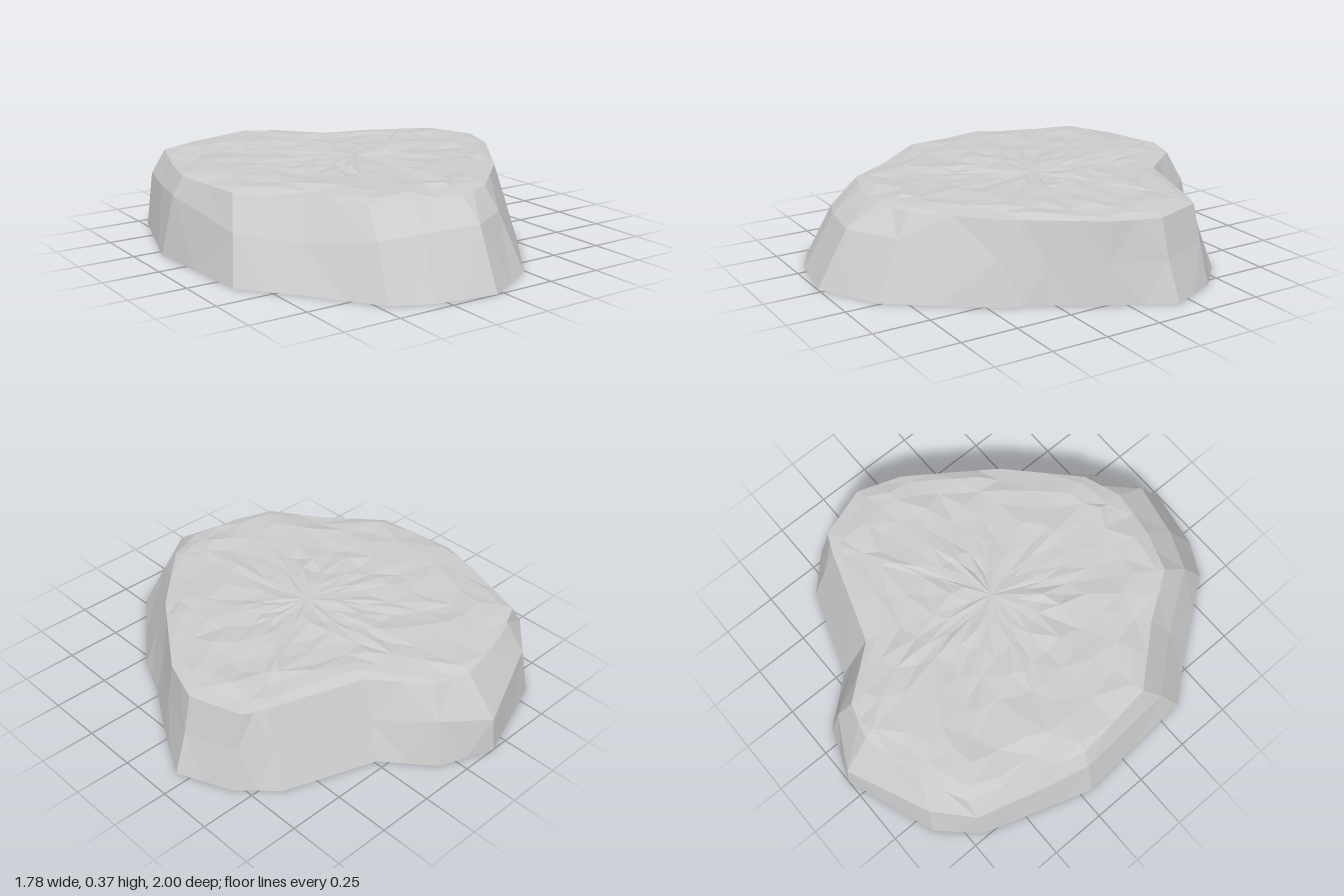
import * as THREE from 'three';

// Outline, counterclockwise from the front: base x, z | shoulder blend, shoulder height | rim x, z
const OUTLINE = [
  [-0.03, 1.00, 0.50, 0.25, 0.00, 0.73],
  [0.24, 0.85, 0.65, 0.24, 0.17, 0.67],
  [0.54, 0.46, 0.55, 0.19, 0.45, 0.40],
  [0.62, 0.28, 0.50, 0.16, 0.57, 0.23],
  [0.75, 0.07, 0.55, 0.17, 0.71, 0.03],
  [0.89, -0.19, 0.60, 0.17, 0.78, -0.17],
  [0.79, -0.42, 0.55, 0.18, 0.70, -0.40],
  [0.64, -0.57, 0.50, 0.17, 0.61, -0.44],
  [0.24, -0.71, 0.50, 0.17, 0.19, -0.58],
  [0.07, -0.91, 0.40, 0.20, 0.01, -0.80],
  [-0.17, -1.00, 0.10, 0.16, -0.15, -0.85],
  [-0.58, -0.85, 0.28, 0.23, -0.44, -0.78],
  [-0.73, -0.69, 0.32, 0.24, -0.63, -0.69],
  [-0.82, -0.42, 0.45, 0.25, -0.73, -0.40],
  [-0.89, -0.20, 0.55, 0.26, -0.79, -0.18],
  [-0.85, 0.36, 0.50, 0.20, -0.75, 0.19],
  [-0.67, 0.58, 0.50, 0.18, -0.54, 0.43],
  [-0.46, 0.87, 0.50, 0.22, -0.40, 0.64],
  [-0.30, 0.95, 0.52, 0.24, -0.22, 0.70],
];
const RIM_Y = 0.34;

// Seeded random numbers from 0 to 1
function seeded(seed) {
  return () => {
    seed = (seed * 16807) % 2147483647;
    return seed / 2147483647;
  };
}

// Insert a midpoint on every edge of a closed ring
function subdivide(ring) {
  return ring.flatMap((p, i) => [p, p.clone().lerp(ring[(i + 1) % ring.length], 0.5)]);
}

// Join rings from outside to inside; an end point closes the last one
function surface(rings, tip) {
  const pos = [];
  const tri = (...pts) => pts.forEach((p) => pos.push(p.x, p.y, p.z));
  rings.forEach((a, r) => {
    const b = rings[r + 1];
    if (!b && !tip) return;
    a.forEach((p, i) => {
      const j = (i + 1) % a.length;
      if (!b) tri(p, a[j], tip);
      else if ((i + r) % 2) { tri(p, a[j], b[j]); tri(p, b[j], b[i]); }
      else { tri(p, a[j], b[i]); tri(a[j], b[j], b[i]); }
    });
  });
  const geo = new THREE.BufferGeometry();
  geo.setAttribute('position', new THREE.Float32BufferAttribute(pos, 3));
  geo.computeVertexNormals();
  return geo;
}

export function createModel() {
  const group = new THREE.Group();
  group.name = 'flatRock';
  const material = new THREE.MeshStandardMaterial({ color: 0xcccccc, flatShading: true });
  const add = (name, geo) => {
    const mesh = new THREE.Mesh(geo, material);
    mesh.name = name;
    group.add(mesh);
  };
  const random = seeded(4711);

  const base = OUTLINE.map(([x, z]) => new THREE.Vector3(x, 0, z));
  const rim = OUTLINE.map((p) => new THREE.Vector3(p[4], RIM_Y, p[5]));
  const shoulder = OUTLINE.map(([, , t, y], i) => base[i].clone().lerp(rim[i], t).setY(y));

  // Sloping faceted sides
  add('sides', surface([base, shoulder, rim].map(subdivide)));

  // Uneven top: jittered rings shrinking towards the middle
  const centre = new THREE.Vector3(0, 0.36, -0.03);
  const edge = subdivide(rim);
  const inner = [0.92, 0.82, 0.7, 0.57, 0.44, 0.31, 0.17].map((s, r) =>
    edge.map((p) => {
      const q = centre.clone().lerp(p, s + (random() - 0.5) * 0.06);
      q.y = (r === 0 ? 0.352 : 0.359) + (random() - 0.5) * 0.017;
      return q;
    }));
  add('top', surface([edge, ...inner], centre));

  // Flat underside
  add('underside', surface([subdivide(base).reverse()], new THREE.Vector3()));

  return group;
}
